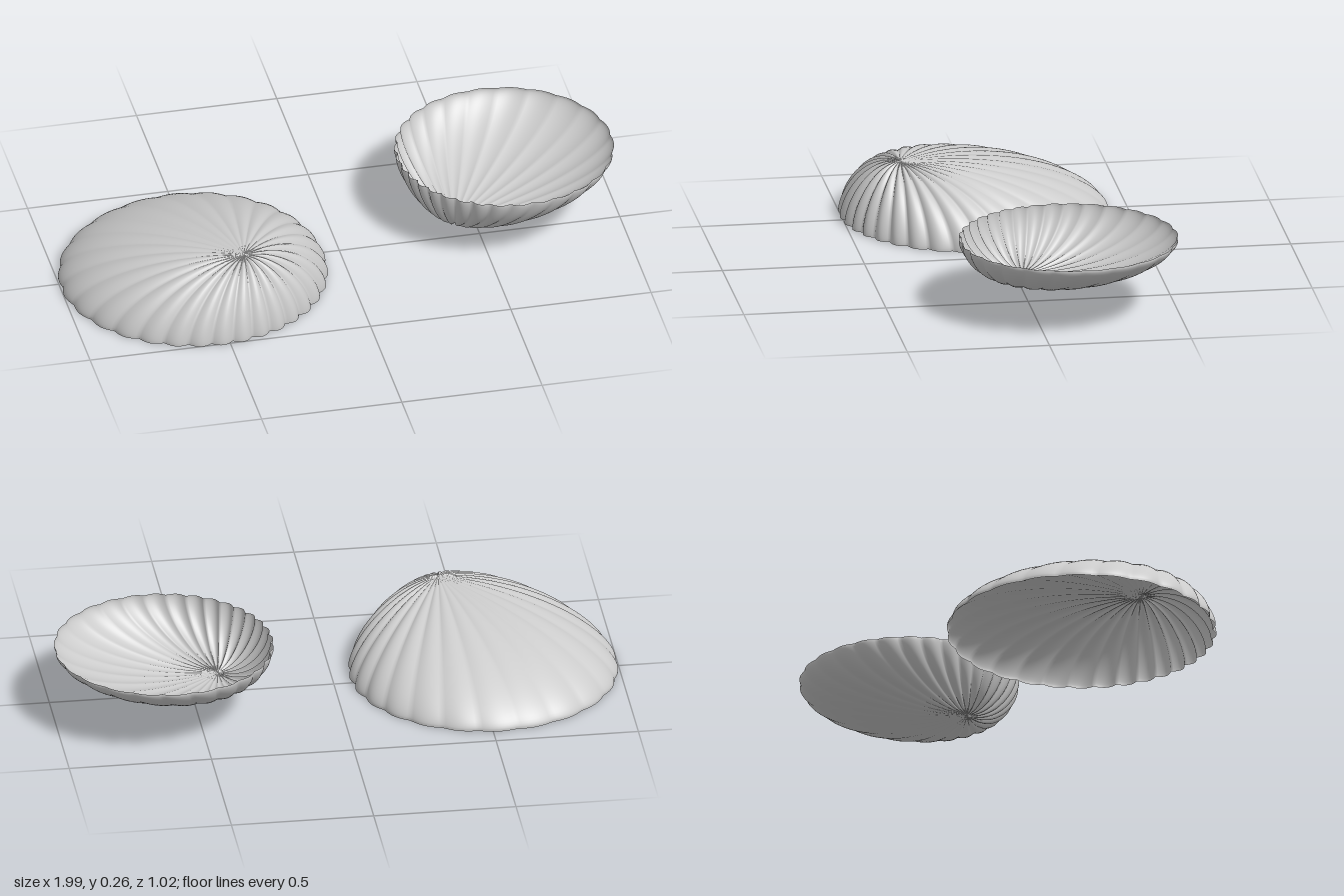
import * as THREE from 'three';

const RADIUS = 0.47, HEIGHT = 0.235, LIP = 0.007, APEX_Z = 0.3;
const RIBS = 28, COLS = RIBS * 10, ROWS = 28;

// Fluted dome: rim circle at y = 0, apex shifted towards +z
function shellGeometry() {
  const pos = [], index = [];
  for (let i = 0; i <= ROWS + 1; i++) {
    const s = Math.sin(Math.min(i / ROWS, 1) * Math.PI / 2);
    const dome = LIP + (HEIGHT - LIP) * Math.pow(Math.max(0, 1 - s * s), 0.67);
    for (let j = 0; j < COLS; j++) {
      const u = j / COLS * Math.PI * 2;
      // ribs crowd together on the short steep side
      const a = u - 0.3 * Math.sin(u);
      // rounded ribs with narrow valleys, deeper on the steep side
      const valley = 1 - Math.abs(Math.sin(RIBS * u / 2));
      const depth = valley * (0.012 + 0.005 * Math.cos(u));
      const r = RADIUS - depth;
      const x = Math.sin(a) * r * s;
      const z = APEX_Z + (Math.cos(a) * r - APEX_Z) * s;
      const y = i > ROWS ? 0 : dome - depth * 2.4 * s * (1 - s);
      pos.push(x, y, z);
      if (i <= ROWS) {
        const k = (j + 1) % COLS;
        const p = i * COLS + j, q = p + COLS, t = (i + 1) * COLS + k;
        if (i > 0) index.push(p, t, i * COLS + k);
        index.push(p, q, t);
      }
    }
  }
  const g = new THREE.BufferGeometry();
  g.setAttribute('position', new THREE.Float32BufferAttribute(pos, 3));
  g.setIndex(index);
  g.computeVertexNormals();
  return g;
}

export function createModel() {
  const group = new THREE.Group();
  const geometry = shellGeometry();
  const material = new THREE.MeshStandardMaterial({ color: 0xcccccc, side: THREE.DoubleSide });

  // Large half lying face down
  const domeShell = new THREE.Mesh(geometry, material);
  domeShell.name = 'domeShell';
  domeShell.position.set(-0.53, 0, 0.037);
  domeShell.rotation.y = 0.41;
  group.add(domeShell);

  // Smaller half turned over as an open bowl
  const bowlShell = new THREE.Mesh(geometry, material);
  bowlShell.name = 'bowlShell';
  bowlShell.position.set(0.615, 0.265, -0.125);
  bowlShell.rotation.set(0, -1.01, Math.PI);
  bowlShell.scale.setScalar(0.815);
  group.add(bowlShell);

  return group;
}
